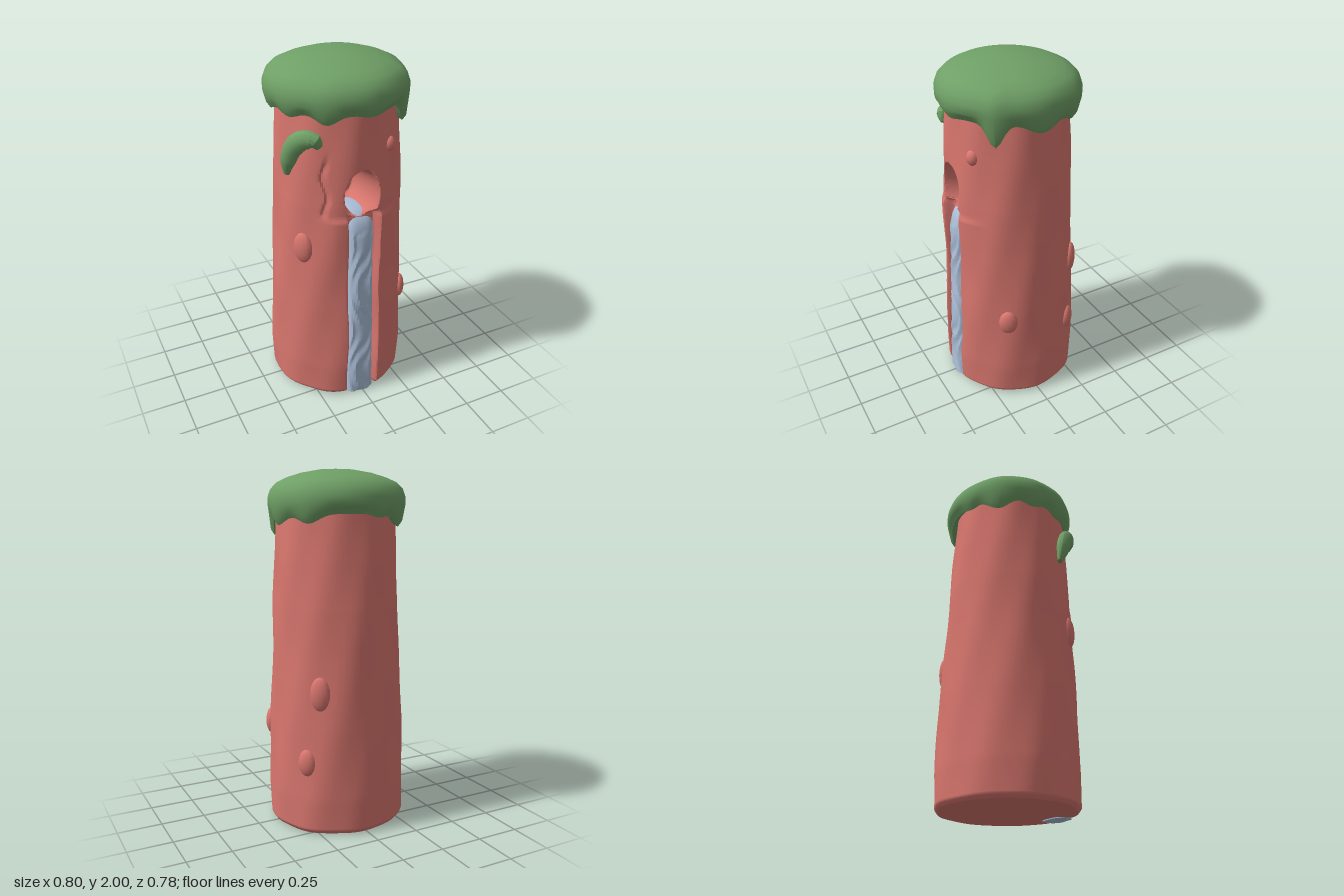
import * as THREE from 'three';
import { mergeVertices, toCreasedNormals } from 'three/addons/utils/BufferGeometryUtils.js';

const { smoothstep, lerp } = THREE.MathUtils;
const rock = new THREE.MeshStandardMaterial({ name: 'red rock', color: 0xd8766e });
const moss = new THREE.MeshStandardMaterial({ name: 'green moss', color: 0x6f9f66 });
const stream = new THREE.MeshStandardMaterial({ name: 'pale blue water', color: 0xaabdd6 });

// Closed grid: columns run round an axis, rows run along it
function grid(cols, rows, fn, crease = 0.5) {
  const pos = [], index = [];
  for (let j = 0; j <= rows; j++)
    for (let i = 0; i <= cols; i++) pos.push(...fn((i / cols) * 2 - 1, j / rows, j));
  for (let j = 0; j < rows; j++)
    for (let i = 0; i < cols; i++) {
      const a = j * (cols + 1) + i, d = a + cols + 1;
      index.push(a, a + 1, d + 1, a, d + 1, d);
    }
  const g = new THREE.BufferGeometry();
  g.setAttribute('position', new THREE.Float32BufferAttribute(pos, 3));
  g.setIndex(index);
  return toCreasedNormals(mergeVertices(g, 1e-5), crease);
}

// Linear lookup in a table of [key, value] pairs
function lookup(table, k) {
  for (let i = 1; i < table.length; i++) {
    const [k0, v0] = table[i - 1], [k1, v1] = table[i];
    if (k <= k1) return lerp(v0, v1, Math.max(0, (k - k0) / (k1 - k0)));
  }
  return table[table.length - 1][1];
}

// Sweep an oval of changing size along a curve; size(t) gives [side, normal]
function sweep(points, ref, segs, sides, size, power, ripple) {
  const curve = new THREE.CatmullRomCurve3(points.map(p => new THREE.Vector3(...p)));
  const n0 = new THREE.Vector3(...ref);
  return grid(sides, segs + 2, (u, v, j) => {
    const t = Math.min(1, Math.max(0, (j - 1) / segs));
    const c = curve.getPointAt(t), tan = curve.getTangentAt(t);
    if (j === 0 || j === segs + 2) return c.toArray();
    const side = tan.clone().cross(n0).normalize(), n = side.clone().cross(tan);
    const [rs, rn] = size(t), a = u * Math.PI, s = Math.sin(a), k = Math.cos(a);
    const sq = x => Math.sign(x) * Math.abs(x) ** power;
    return c.addScaledVector(side, rs * sq(s)).addScaledVector(n, rn * sq(k) + ripple(a, t)).toArray();
  });
}

const mesh = (name, geo, mat) => Object.assign(new THREE.Mesh(geo, mat), { name });

const sideRadius = [[0, 0.372], [0.025, 0.393], [0.2, 0.397], [0.6, 0.385], [1, 0.366], [1.25, 0.358], [1.5, 0.345], [1.85, 0.322]];
const rowHeights = [[0, 0.004], [6, 0.05], [46, 1.08], [106, 1.5], [120, 1.85]];

// Rough tapering column with a carved spring cave and water channel
function column() {
  return grid(160, 122, (u, v, j) => {
    if (j === 0) return [0, 0.004, 0];
    if (j === 122) return [0, 1.85, 0];
    const th = Math.PI * (0.25 * u + 0.75 * u ** 3), y = lookup(rowHeights, j - 1);
    const r = lookup(sideRadius, y) + 0.004 * Math.sin(5 * th + 4 * y) * Math.sin(7 * y + 2 * th)
      + 0.003 * Math.sin(9 * th - 6 * y);
    const x = r * Math.sin(th);
    let z = r * Math.cos(th) * lerp(0.975, 1, y / 1.85) + lerp(-0.009, 0.006, y / 1.85);
    if (z > 0) {
      // lower front stands a little prouder than the wall above
      z += 0.012 * (1 - smoothstep(y, 1.16, 1.2)) * smoothstep(y, 0.7, 1.1) * (1 - smoothstep(Math.abs(x), 0.15, 0.26));
      // vertical fissure left of the cave
      z -= 0.015 * (1 - smoothstep(Math.abs(x + 0.2 - 0.01 * Math.sin(y * 30)), 0, 0.02))
        * smoothstep(y, 1.18, 1.22) * (1 - smoothstep(y, 1.45, 1.56));
      const edge = Math.abs(x + 0.004 * Math.sin(y * 11));
      const groove = 0.06 * (1 - smoothstep(edge, 0.07, 0.102)) * (1 - smoothstep(y, 1.17, 1.22));
      const e = Math.hypot((x + 0.01) / 0.105, (y - 1.3) / 0.155);
      z -= Math.max(groove, 0.25 * (1 - smoothstep(e, 0.55, 1)));
    }
    return [x, y, z];
  }, 0.6);
}

// Drooping moss lobes: angle, width, drop
const lobes = [[0.9, 0.15, 0.12], [1.6, 0.28, 0.06], [2.25, 0.22, 0.05], [0.1, 0.22, 0.02], [-0.58, 0.2, 0.05],
  [-1.2, 0.22, 0.035], [-1.75, 0.2, 0.04], [-2.35, 0.24, 0.07], [-2.9, 0.16, 0.02]];
// Cap section: radius, height above the lobe tip (first four), then absolute height
const capSection = [[0.29, 0.05], [0.325, 0.02], [0.352, 0], [0.372, 0.03], [0.385, 1.8], [0.386, 1.845], [0.37, 1.89],
  [0.335, 1.925], [0.28, 1.951], [0.2, 1.976], [0.1, 1.994], [0, 2]];

function mossCap() {
  return grid(90, capSection.length - 1, (u, v, j) => {
    const th = u * Math.PI;
    let drop = 0;
    for (const [a, w, d] of lobes) drop += d * Math.exp(-(((th - a) / w) ** 2));
    const [r0, h] = capSection[j];
    const y = j < 4 ? 1.755 - drop + h : h;
    const r = r0 * (1 + (j > 1 && j < 8 ? 0.25 * drop - 0.008 : 0) + 0.012 * Math.sin(3 * th + 1));
    return [r * Math.sin(th), y, r * Math.cos(th)];
  }, 0.7);
}

// Rounded stones set in the wall: angle, height, half width, half height
const studs = [[-0.97, 0.99, 0.058, 0.092], [0.515, 1.55, 0.035, 0.044], [1.085, 0.55, 0.054, 0.076],
  [2.43, 0.8, 0.056, 0.095], [2.24, 0.41, 0.052, 0.077]];

export function createModel() {
  const model = new THREE.Group();
  model.name = 'mossySpringPillar';
  model.add(mesh('rockColumn', column(), rock));
  model.add(mesh('mossCap', mossCap(), moss));

  // Water pours from the cave pool down the channel
  const path = [[-0.006, 0, 0.316], [-0.006, 0.3, 0.312], [0, 0.6, 0.302], [0, 0.9, 0.294], [0, 1.06, 0.286],
    [0, 1.125, 0.26], [0, 1.142, 0.2], [0, 1.142, 0.1]];
  const width = [[0, 0.083], [0.4, 0.074], [0.75, 0.068], [0.85, 0.076], [1, 0.07]];
  model.add(mesh('waterfall', sweep(path, [0, 0.3, 1], 80, 32,
    t => [lookup(width, t), 0.058], 0.65,
    (a, t) => (t > 0.82 ? 0 : 0.006 * Math.sin(a * 7 + 5 * Math.sin(t * 14)) * Math.max(0, Math.cos(a)))), stream));

  // Curled moss tuft on the upper left wall
  const curl = [[-0.225, 1.59, 0.275], [-0.25, 1.625, 0.265], [-0.295, 1.622, 0.222], [-0.33, 1.56, 0.17],
    [-0.345, 1.48, 0.14], [-0.345, 1.41, 0.12]];
  const thick = [[0, 0.02], [0.12, 0.045], [0.4, 0.055], [0.75, 0.045], [1, 0.018]];
  model.add(mesh('mossTuft', sweep(curl, [-0.8, 0, 0.6], 18, 14,
    t => [lookup(thick, t), lookup(thick, t) * 0.8], 1, () => 0), moss));

  for (const [a, y, w, h] of studs) {
    const r = lookup(sideRadius, y) - 0.006;
    const stud = mesh('wallStone', new THREE.SphereGeometry(1, 14, 10), rock);
    stud.scale.set(w, h, 0.032);
    stud.rotation.y = a;
    stud.position.set(r * Math.sin(a), y, r * Math.cos(a));
    model.add(stud);
  }
  return model;
}
